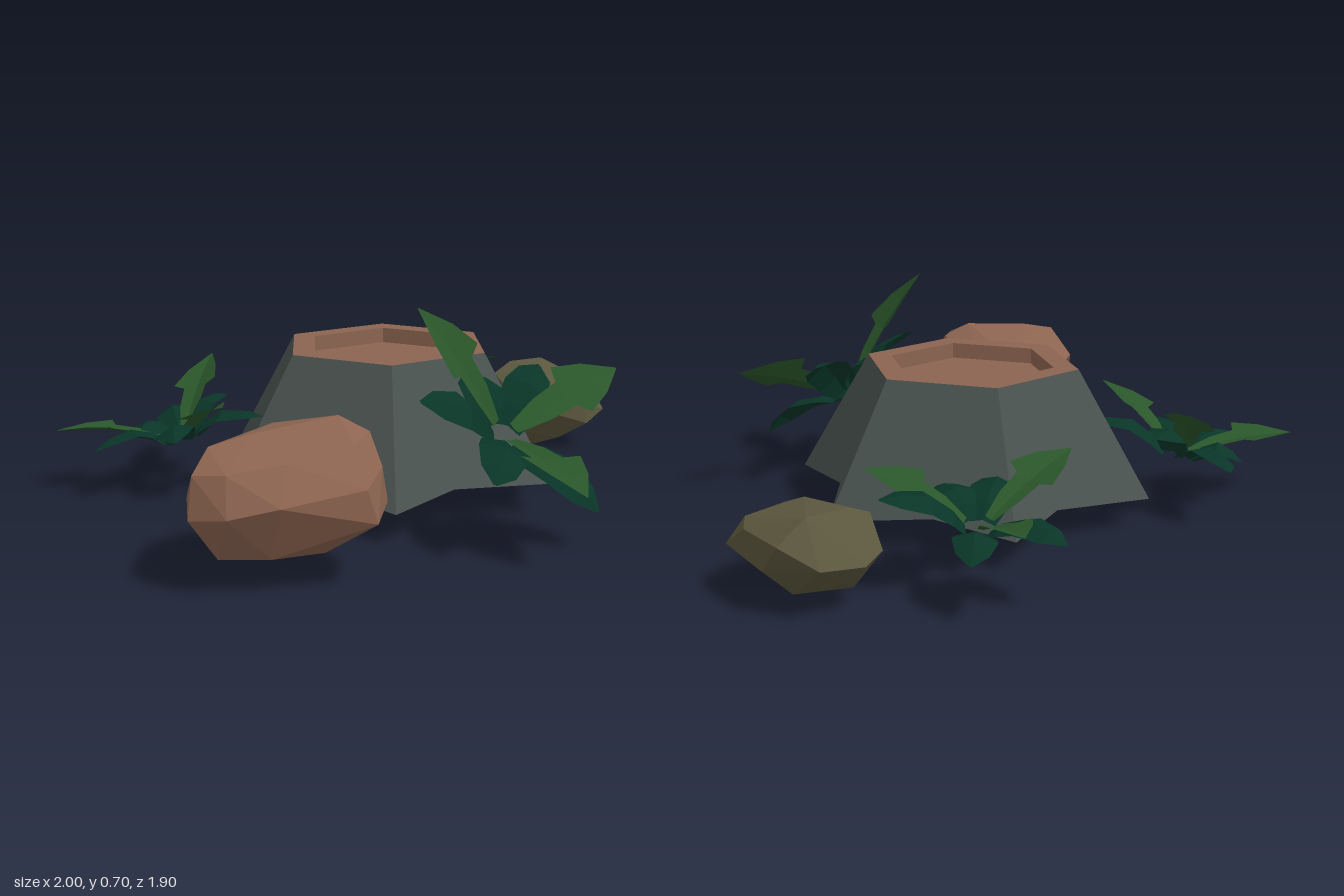
import * as THREE from 'three';
import { ConvexGeometry } from 'three/addons/geometries/ConvexGeometry.js';

const V = (x, y, z) => new THREE.Vector3(x, y, z);

function material(name, color, flatShading = true, side = THREE.FrontSide) {
  const m = new THREE.MeshStandardMaterial({ color, flatShading, side });
  m.name = name;
  return m;
}

// Mesh from a flat list of triangle corners
function triMesh(name, points, mat) {
  const g = new THREE.BufferGeometry().setFromPoints(points);
  g.computeVertexNormals();
  const mesh = new THREE.Mesh(g, mat);
  mesh.name = name;
  return mesh;
}

// Twelve-point ring with alternating radii around the pedestal axis
function ring(outer, inner, y) {
  return Array.from({ length: 12 }, (_, i) => {
    const a = i * Math.PI / 6, r = i % 2 ? inner : outer;
    return V(-0.015 + r * Math.cos(a), y, -0.09 - r * Math.sin(a));
  });
}
const hex = (r, y) => ring(r, r * Math.cos(Math.PI / 6), y);

// Band between two rings; the diagonals mirror about each star point
function band(a, b) {
  return a.flatMap((p, i) => {
    const j = (i + 1) % 12;
    return i % 2
      ? [p, a[j], b[i], a[j], b[j], b[i]]
      : [p, a[j], b[j], p, b[j], b[i]];
  });
}

function cap(r, up) {
  const c = V(-0.015, r[0].y, -0.09);
  return r.flatMap((p, i) => {
    const q = r[(i + 1) % 12];
    return up ? [c, p, q] : [c, q, p];
  });
}

// Each of the six creased sides shades as one plane: 12 corners per side
function shadeAsHexagon(mesh) {
  const n = mesh.geometry.attributes.normal;
  for (let i = 0; i < n.count; i++) {
    const a = (Math.floor(i / 12) + 0.5) * Math.PI / 3;
    n.setXYZ(i, 0.9 * Math.cos(a), 0.436, -0.9 * Math.sin(a));
  }
  return mesh;
}

// Folded leaf lofted from rows of [position along leaf, half width]
function leaf(name, start, tip, normal, rows, width, arch, fold, mat) {
  const dir = tip.clone().sub(start);
  const side = dir.clone().cross(normal).normalize();
  const up = side.clone().cross(dir).normalize();
  const sections = rows.map(([t, w]) => {
    const mid = start.clone().addScaledVector(dir, t)
      .addScaledVector(up, arch * Math.sin(Math.PI * t));
    const edge = s => mid.clone().addScaledVector(side, s * w * width)
      .addScaledVector(up, fold * w * width);
    return [edge(-1), mid, edge(1)];
  });
  const pts = [];
  for (let i = 0; i + 1 < sections.length; i++) {
    const a = sections[i], b = sections[i + 1];
    for (let k = 0; k < 2; k++) {
      pts.push(a[k], a[k + 1], b[k + 1], a[k], b[k + 1], b[k]);
    }
  }
  return triMesh(name, pts, mat);
}

const BROAD = [[0, 0.04], [0.2, 0.06], [0.5, 0.068], [0.8, 0.049], [1, 0.004]];
const BARBED = [[0, 0.018], [0.25, 0.04], [0.48, 0.046], [0.52, 0.088], [0.75, 0.058], [1, 0.002]];

// Each plant: centre, facing, leaf width, broad leaf tips and barbed leaf tips
const PLANTS = [
  {
    name: 'frontPlant', centre: [0.05, 0.3, 0.46], normal: [0, 0.8, 0.6], width: 1.12,
    broad: [[-0.285, 0.46, 0.51], [0.31, 0.46, 0.3], [0.17, 0.12, 0.77], [-0.18, 0.25, 0.73], [0.04, 0.46, 0.27]],
    barbed: [[-0.03, 0.245, 0.95], [0.51, 0.45, 0.44], [-0.2, 0.7, 0.37]],
  },
  {
    name: 'backRightPlant', centre: [-0.57, 0.17, -0.49], normal: [-0.2, 0.95, -0.2], width: 0.95,
    broad: [[-0.46, 0.2, -0.79], [-0.68, 0.16, -0.67], [-0.36, 0.28, -0.57], [-0.39, 0.27, -0.26], [-0.69, 0.22, -0.28], [-0.88, 0.17, -0.49]],
    barbed: [[-0.94, 0.21, -0.67], [-0.33, 0.39, -0.74], [-0.59, 0.35, -0.14]],
  },
  {
    name: 'backLeftPlant', centre: [0.43, 0.18, -0.6], normal: [0.1, 0.95, -0.2], width: 0.95,
    broad: [[0.4, 0.21, -0.91], [0.61, 0.16, -0.76], [0.7, 0.3, -0.49], [0.4, 0.25, -0.39], [0.21, 0.25, -0.46]],
    barbed: [[0.6, 0.29, -0.95], [0.08, 0.35, -0.62], [0.63, 0.34, -0.34]],
  },
];

// Faceted boulder corners
const BROWN_ROCK = [
  [-1, 0.22, 0.47], [-0.98, 0.34, 0.46], [-0.95, 0.25, 0.36], [-0.91, 0.4, 0.42], [-0.8, 0.425, 0.45],
  [-0.85, 0.33, 0.26], [-0.69, 0.3, 0.19], [-0.56, 0.33, 0.22], [-0.66, 0.41, 0.32], [-0.55, 0.455, 0.5],
  [-0.48, 0.41, 0.55], [-0.47, 0.32, 0.35], [-0.45, 0.25, 0.52], [-0.46, 0.22, 0.61], [-0.56, 0.2, 0.72],
  [-0.59, 0.3, 0.715], [-0.7, 0.23, 0.67], [-0.82, 0.27, 0.655], [-0.94, 0.24, 0.58], [-0.92, 0.1, 0.48],
  [-0.82, 0.06, 0.4], [-0.7, 0.06, 0.36], [-0.62, 0.08, 0.54], [-0.5, 0.11, 0.45], [-0.6, 0.13, 0.27],
  [-0.8, 0.1, 0.56], [-0.92, 0.35, 0.54], [-0.77, 0.37, 0.6], [-0.58, 0.4, 0.63], [-0.49, 0.33, 0.63],
];
const OLIVE_ROCK = [
  [0.72, 0.17, -0.53], [0.8, 0.15, -0.555], [0.93, 0.16, -0.525], [1, 0.22, -0.43], [0.995, 0.13, -0.35],
  [0.96, 0.14, -0.13], [0.87, 0.1, -0.115], [0.86, 0.17, -0.115], [0.73, 0.15, -0.14], [0.655, 0.13, -0.2],
  [0.665, 0.2, -0.3], [0.69, 0.25, -0.44], [0.77, 0.285, -0.45], [0.91, 0.285, -0.44], [0.78, 0.27, -0.26],
  [0.94, 0.235, -0.2], [0.76, 0.22, -0.14], [0.9, 0.04, -0.36], [0.79, 0.01, -0.3], [0.72, 0, -0.28],
  [0.68, 0.07, -0.22], [0.76, 0.05, -0.45], [0.8, 0.04, -0.19], [0.98, 0.22, -0.25],
];

export function createModel() {
  const model = new THREE.Group();
  model.name = 'planterPedestal';
  const stone = material('slateStone', 0x49524f, false);
  const clay = material('clayBrown', 0x8c6450);
  const olive = material('rockOlive', 0x5c573e);
  const darkLeaf = material('darkLeafGreen', 0x093527, true, THREE.DoubleSide);
  const lightLeaf = material('lightLeafGreen', 0x2a562a, true, THREE.DoubleSide);

  // Star-footed pedestal with a recessed hexagonal top
  const foot = ring(0.585, 0.39, 0.1), top = hex(0.35, 0.5);
  const rim = hex(0.27, 0.5), floor = hex(0.27, 0.45);
  const pedestal = new THREE.Group();
  pedestal.name = 'pedestal';
  pedestal.add(
    shadeAsHexagon(triMesh('pedestalSides', band(foot, top), stone)),
    triMesh('pedestalRim', band(top, rim), clay),
    triMesh('recessWall', band(rim, floor), clay),
    triMesh('recessFloor', cap(floor, true), clay),
    triMesh('pedestalUnderside', cap(foot, false), clay),
  );
  model.add(pedestal);

  // Boulders
  for (const [name, pts, mat] of [['brownBoulder', BROWN_ROCK, clay], ['oliveBoulder', OLIVE_ROCK, olive]]) {
    const rock = new THREE.Mesh(new ConvexGeometry(pts.map(p => V(...p))), mat);
    rock.name = name;
    model.add(rock);
  }

  // Olive stone showing through the underside of the brown boulder
  const pebble = new THREE.Mesh(new THREE.IcosahedronGeometry(0.09, 0), olive);
  pebble.name = 'embeddedPebble';
  pebble.scale.set(1.2, 0.5, 1);
  pebble.position.set(-0.62, 0.115, 0.47);
  model.add(pebble);

  // Leafy plants, open at the middle
  for (const p of PLANTS) {
    const plant = new THREE.Group();
    plant.name = p.name;
    const centre = V(...p.centre), normal = V(...p.normal).normalize();
    const add = (name, tips, rows, arch, fold, mat) => tips.forEach(t => {
      const tip = V(...t);
      const start = tip.clone().sub(centre).setLength(0.045).add(centre);
      plant.add(leaf(name, start, tip, normal, rows, p.width, arch, fold, mat));
    });
    add('broadLeaf', p.broad, BROAD, 0.055, -0.35, darkLeaf);
    add('barbedLeaf', p.barbed, BARBED, 0.015, 0.25, lightLeaf);
    model.add(plant);
  }
  return model;
}
